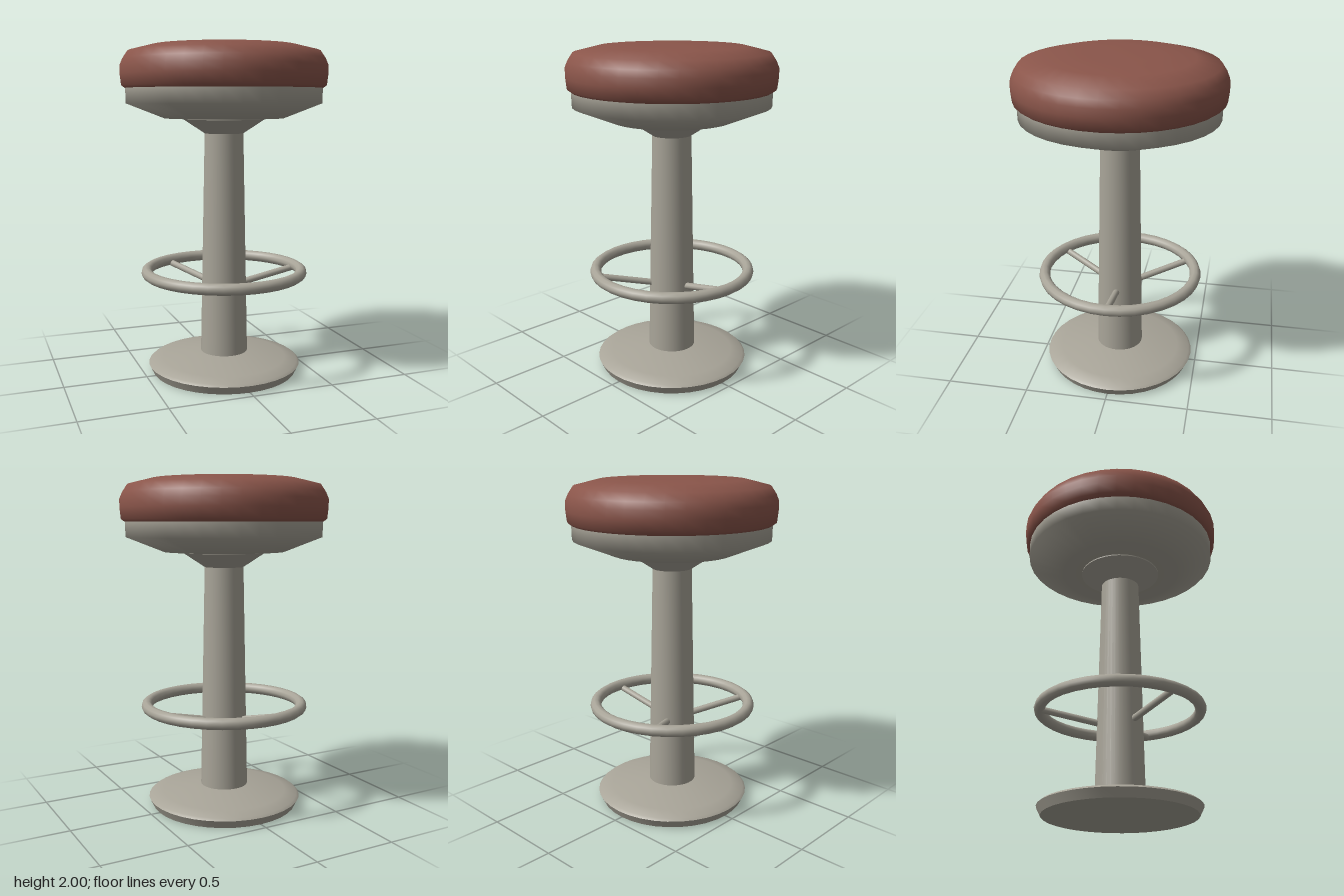
import * as THREE from 'three';
import { toCreasedNormals } from 'three/addons/utils/BufferGeometryUtils.js';

const material = (name, color) => {
  const m = new THREE.MeshStandardMaterial({ color });
  m.name = name;
  return m;
};

export function createModel() {
  const stool = new THREE.Group();
  stool.name = 'barStool';
  const leather = material('brownRedLeather', 0x8a554a);
  const metal = material('warmGreyMetal', 0xa8a498);

  const add = (name, geometry, mat) => {
    const mesh = new THREE.Mesh(geometry, mat);
    mesh.name = name;
    stool.add(mesh);
    return mesh;
  };
  // Turned part from [radius, height] pairs, listed bottom to top
  const turned = (name, profile, mat, crease = 0.75) => {
    const points = profile.map(([r, y]) => new THREE.Vector2(r, y));
    add(name, toCreasedNormals(new THREE.LatheGeometry(points, 36), crease), mat);
  };

  // Padded seat with rounded shoulder and a narrow lower band
  turned('seatCushion', [[0, 1.74], [0.59, 1.74], [0.61, 1.755], [0.617, 1.82],
    [0.617, 1.87], [0.6, 1.91], [0.57, 1.955], [0.43, 1.99], [0.22, 2], [0, 2]], leather, 1.0);

  // Metal pan under the seat and the flared collar below it
  turned('seatPan', [[0, 1.562], [0.36, 1.562], [0.585, 1.65], [0.587, 1.74], [0, 1.74]], metal, 1.25);
  turned('collar', [[0.115, 1.47], [0.245, 1.555], [0.245, 1.565]], metal);

  // Tapered column and pedestal
  turned('column', [[0.145, 0.1], [0.115, 1.565]], metal);
  turned('base', [[0, 0], [0.445, 0], [0.47, 0.05], [0.455, 0.063], [0.38, 0.08],
    [0.17, 0.12], [0, 0.12]], metal, 0.9);

  // Foot ring
  const ring = add('footRing', new THREE.TorusGeometry(0.475, 0.034, 10, 36), metal);
  ring.rotation.x = Math.PI / 2;
  ring.position.y = 0.625;

  // Three sloping spokes from the column to the ring
  for (let i = 0; i < 3; i++) {
    const a = (i * Math.PI * 2) / 3;
    const at = (r, y) => new THREE.Vector3(r * Math.cos(a), y, r * Math.sin(a));
    const path = new THREE.LineCurve3(at(0.11, 0.54), at(0.465, 0.612));
    add('footRingSpoke' + (i + 1), new THREE.TubeGeometry(path, 1, 0.02, 10), metal);
  }
  return stool;
}
